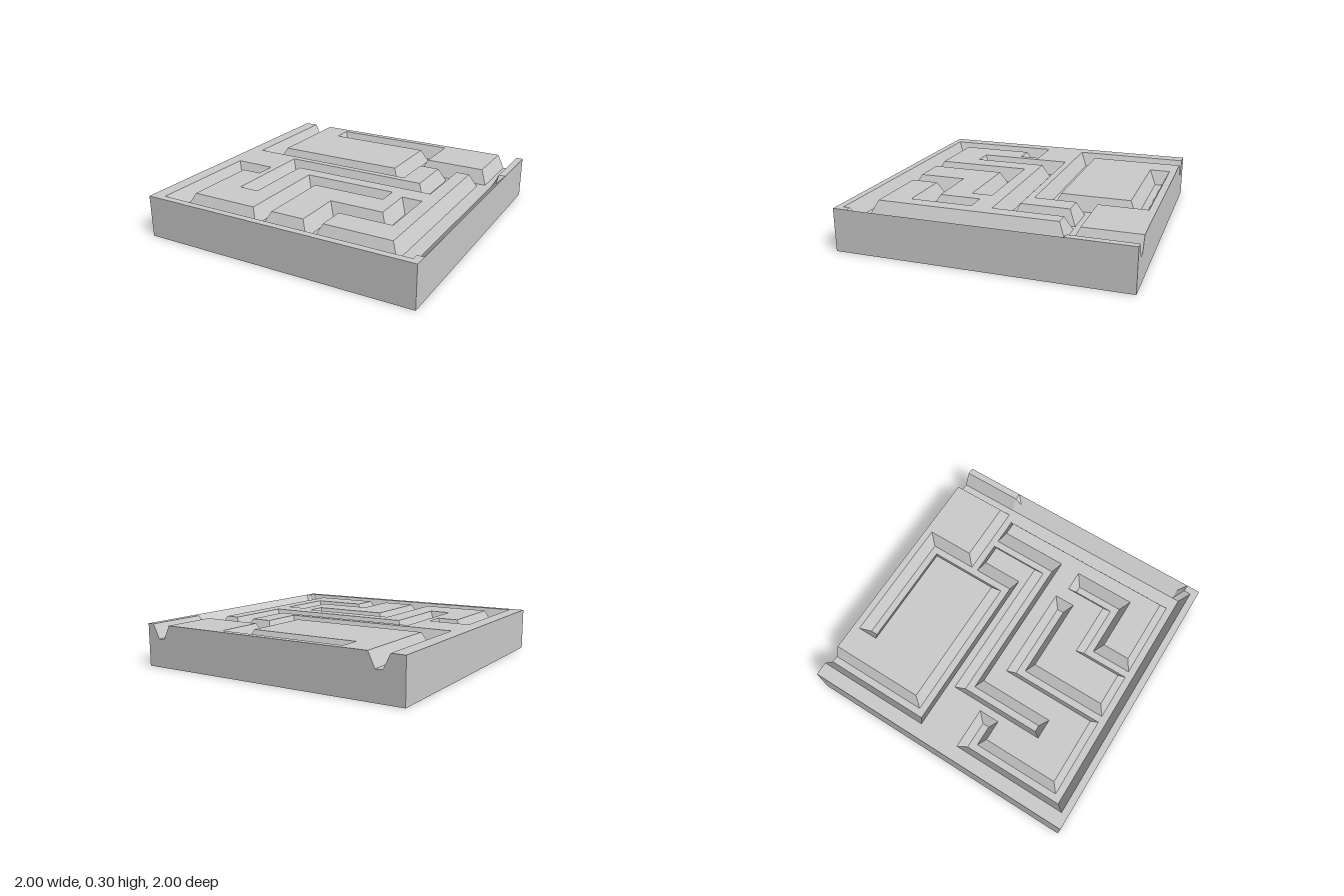
import * as THREE from 'three';

// The tile is a 41 x 41 grid of cells; grooves follow whole cells.
const N = 41, U = 2 / N, HALF = 20;
const TOP = 0.3, FLOOR = 0.2;

// Groove centre lines as [x, z] cell coordinates
const paths = [
  [[-17, -20], [-17, -5], [6, -5], [6, -18], [-10, -18]],  // back loop
  [[18, -20], [18, -11], [6, -11]],                        // back inlet and link
  [[12, -11], [12, -1], [-10, -1], [-10, 10]],             // middle channel
  [[-14, 4], [-17, 4], [-17, 18], [18, 18]],               // left hook and front run
  [[-4, 18], [-4, 4], [7, 4]],                             // front hook
  [[4, 18], [4, 11], [12, 11], [12, 5]],                   // stepped channel
  [[17, 18], [17, -11]], [[18, 18], [18, -11]],            // double-width side run
];

function carve() {
  const cells = new Set();
  for (const path of paths) {
    for (let k = 0; k + 1 < path.length; k++) {
      let [x, z] = path[k];
      const [x1, z1] = path[k + 1];
      cells.add(x + ',' + z);
      while (x !== x1 || z !== z1) {
        x += Math.sign(x1 - x);
        z += Math.sign(z1 - z);
        cells.add(x + ',' + z);
      }
    }
  }
  return cells;
}

function tileGeometry() {
  const cells = carve();
  const pos = [];
  const tri = (...p) => p.forEach(v => pos.push(v.x, v.y, v.z));
  const quad = (a, b, c, d) => { tri(a, b, c); tri(a, c, d); };

  // A grid corner drops to the floor when it touches a groove cell
  const height = (i, j) => {
    for (const a of [i - 1, i]) for (const b of [j - 1, j]) {
      if (cells.has((a - HALF) + ',' + (b - HALF))) return FLOOR;
    }
    // the rim beside the side run slopes all the way to the edge
    if (i === N - 1 && j > 9 && j < 39) return (TOP + FLOOR) / 2;
    return TOP;
  };
  const top = (i, j) => new THREE.Vector3(i * U - 1, height(i, j), j * U - 1);
  const base = (i, j) => new THREE.Vector3(i * U - 1, 0, j * U - 1);

  // Carved upper surface, split so that corners are mitred
  for (let i = 0; i < N; i++) {
    for (let j = 0; j < N; j++) {
      const a = top(i, j), b = top(i, j + 1), c = top(i + 1, j + 1), d = top(i + 1, j);
      if (a.y !== c.y) quad(a, b, c, d);
      else quad(b, c, d, a);
    }
  }
  // Outer sides, notched where grooves leave the tile
  for (let k = 0; k < N; k++) {
    quad(base(k, N), base(k + 1, N), top(k + 1, N), top(k, N));
    quad(base(k + 1, 0), base(k, 0), top(k, 0), top(k + 1, 0));
    quad(base(N, k + 1), base(N, k), top(N, k), top(N, k + 1));
    quad(base(0, k), base(0, k + 1), top(0, k + 1), top(0, k));
  }
  // Underside
  quad(base(0, 0), base(N, 0), base(N, N), base(0, N));

  const g = new THREE.BufferGeometry();
  g.setAttribute('position', new THREE.Float32BufferAttribute(pos, 3));
  g.computeVertexNormals();
  return g;
}

export function createModel() {
  const group = new THREE.Group();
  group.name = 'mazeTile';
  const tile = new THREE.Mesh(
    tileGeometry(),
    new THREE.MeshStandardMaterial({ color: 0xcccccc, flatShading: true })
  );
  tile.name = 'groovedSlab';
  group.add(tile);
  return group;
}
